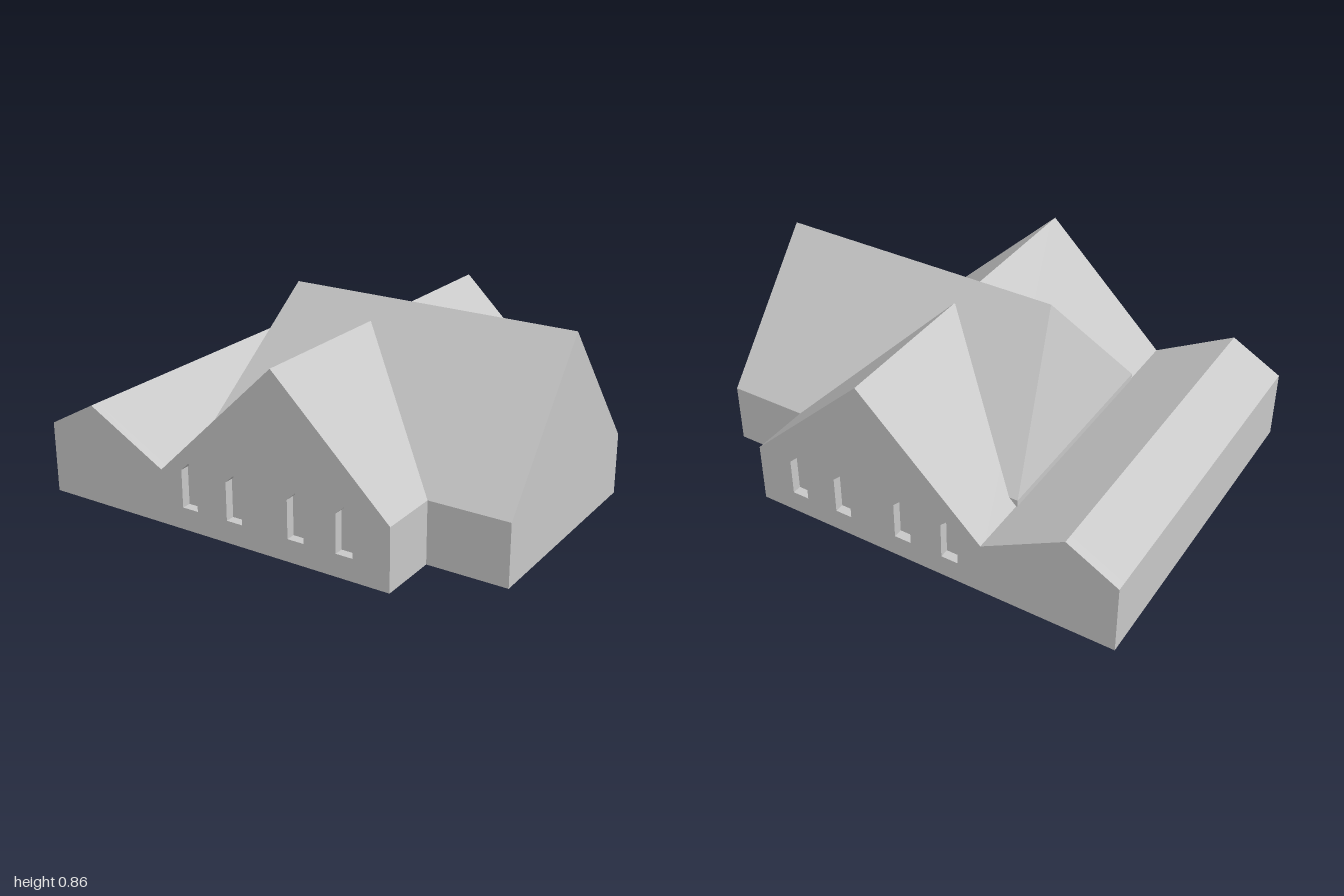
import * as THREE from 'three';

const HALF_DEPTH = 0.765; // half length of the nave along z
const RECESS = 0.04;      // window niche depth
const EAVE = 0.268;

const plaster = new THREE.MeshStandardMaterial({ color: 0xc8c8c8 });
plaster.name = 'light grey plaster';

const shapeOf = (pts) => new THREE.Shape(pts.map(([x, y]) => new THREE.Vector2(x, y)));

// Gabled hall with a lower side aisle, seen from the front
const hallOutline = () => shapeOf([
  [-1, 0], [0.652, 0], [0.652, EAVE], [0.133, 0.768],
  [-0.416, 0.236], [-0.776, 0.434], [-1, 0.311],
]);

function slab(name, shape, depth, z) {
  const geometry = new THREE.ExtrudeGeometry(shape, { depth, bevelEnabled: false });
  const mesh = new THREE.Mesh(geometry, plaster);
  mesh.name = name;
  mesh.position.z = z;
  return mesh;
}

// Flat-faced solid from corner points and polygons listed counter-clockwise
function solid(name, corners, faces) {
  const pos = [];
  for (const f of faces)
    for (let i = 1; i < f.length - 1; i++)
      for (const k of [f[0], f[i], f[i + 1]]) pos.push(...corners[k]);
  const geometry = new THREE.BufferGeometry();
  geometry.setAttribute('position', new THREE.Float32BufferAttribute(pos, 3));
  geometry.computeVertexNormals();
  const mesh = new THREE.Mesh(geometry, plaster);
  mesh.name = name;
  return mesh;
}

export function createModel() {
  const model = new THREE.Group();
  model.name = 'church';

  // Core of the hall; its end faces form the backs of the window niches
  const coreHalf = HALF_DEPTH - RECESS;
  model.add(slab('hall', hallOutline(), coreHalf * 2, -coreHalf));

  // Gable walls pierced by pointed windows
  const wall = hallOutline();
  for (const x of [-0.274, -0.054, 0.236, 0.455]) {
    const w = 0.0375;
    wall.holes.push(new THREE.Path([
      [x - w, 0.096], [x - w, 0.26], [x, 0.295], [x + w, 0.26], [x + w, 0.096],
    ].map(([a, b]) => new THREE.Vector2(a, b))));
  }
  model.add(slab('frontGableWall', wall, RECESS, coreHalf));
  model.add(slab('backGableWall', wall, RECESS, -HALF_DEPTH));

  // Transverse wing: gabled at +x, steep hip at -x
  const x0 = -0.422, x1 = 1, z = 0.498;
  model.add(solid('crossWing', [
    [x0, 0, z], [x1, 0, z], [x1, 0, -z], [x0, 0, -z],
    [x0, EAVE, z], [x1, EAVE, z], [x1, EAVE, -z], [x0, EAVE, -z],
    [-0.274, 0.855, 0], [x1, 0.855, 0],
  ], [
    [0, 1, 5, 4], [2, 3, 7, 6],    // long walls
    [1, 2, 6, 9, 5], [3, 0, 4, 7], // end walls
    [4, 5, 9, 8], [6, 7, 8, 9],    // roof slopes
    [7, 4, 8],                     // hip
    [3, 2, 1, 0],                  // floor
  ]));

  return model;
}
